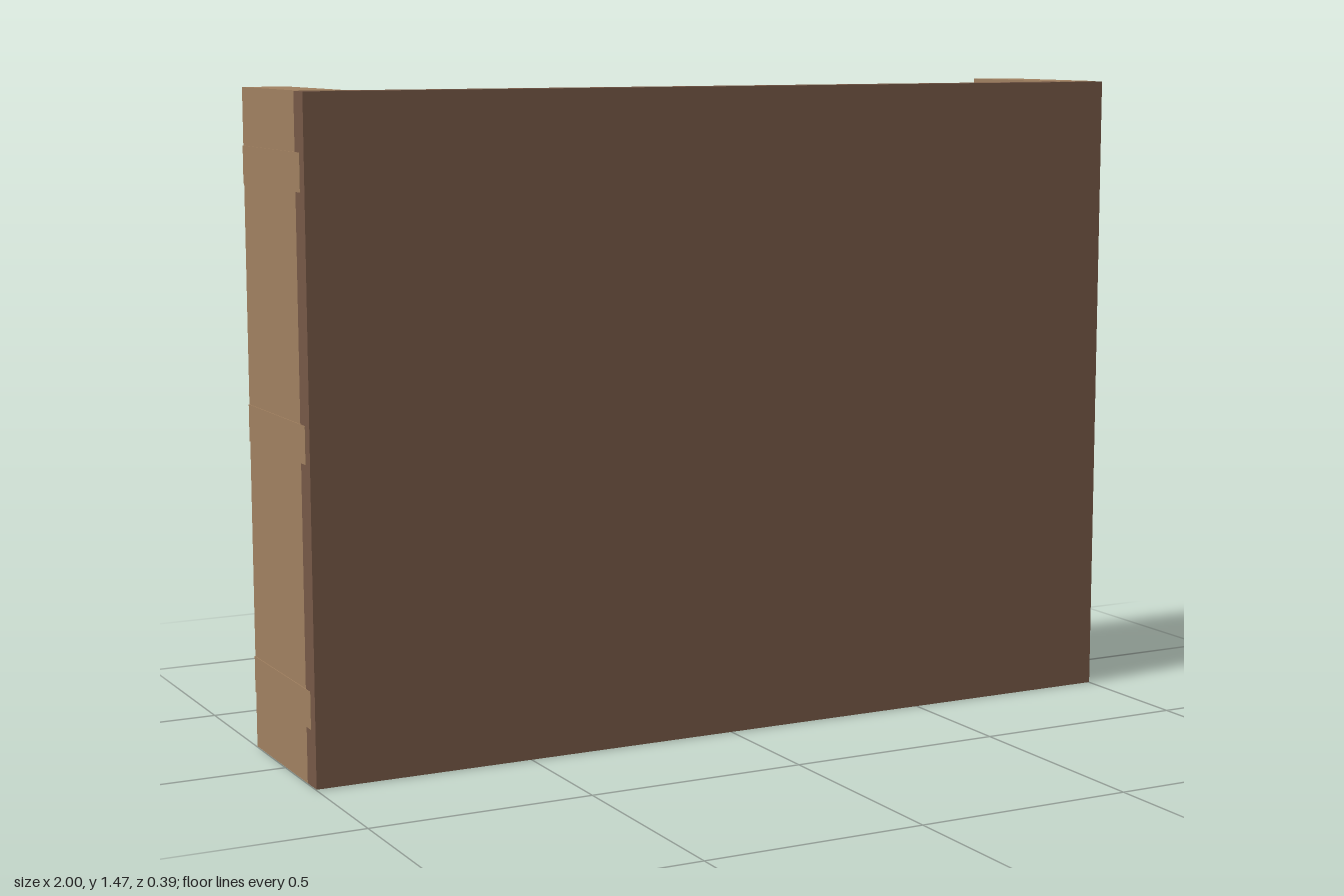
import * as THREE from 'three';

const lightWood = new THREE.MeshStandardMaterial({ color: 0xa08060 });
lightWood.name = 'lightWood';
const darkWood = new THREE.MeshStandardMaterial({ color: 0x755846 });
darkWood.name = 'darkWood';

// Box given by its minimum and maximum corners
function board(name, material, [x0, y0, z0], [x1, y1, z1]) {
  const geometry = new THREE.BoxGeometry(x1 - x0, y1 - y0, z1 - z0);
  const mesh = new THREE.Mesh(geometry, material);
  mesh.position.set((x0 + x1) / 2, (y0 + y1) / 2, (z0 + z1) / 2);
  mesh.name = name;
  return mesh;
}

export function createModel() {
  const group = new THREE.Group();
  group.name = 'bookshelf';
  const height = 1.467, depth = 0.195;

  // Full-size panel closing the +z side
  group.add(board('panel', darkWood, [-0.999, 0.001, 0.14], [0.999, height - 0.001, depth]));

  // Uprights, let into the panel; tiny offsets keep the joints from flickering
  group.add(board('leftUpright', lightWood, [0.895, 0, -depth], [0.998, height, 0.17]));
  group.add(board('rightUpright', lightWood, [-0.998, 0, -depth], [-0.895, height, 0.17]));

  // Shelves, whose ends run through the uprights
  [0.125, 0.692, 1.259].forEach((y, i) => {
    group.add(board(`shelf${i + 1}`, lightWood, [-1, y, -depth + 0.001], [1, y + 0.082, 0.17]));
  });
  return group;
}
